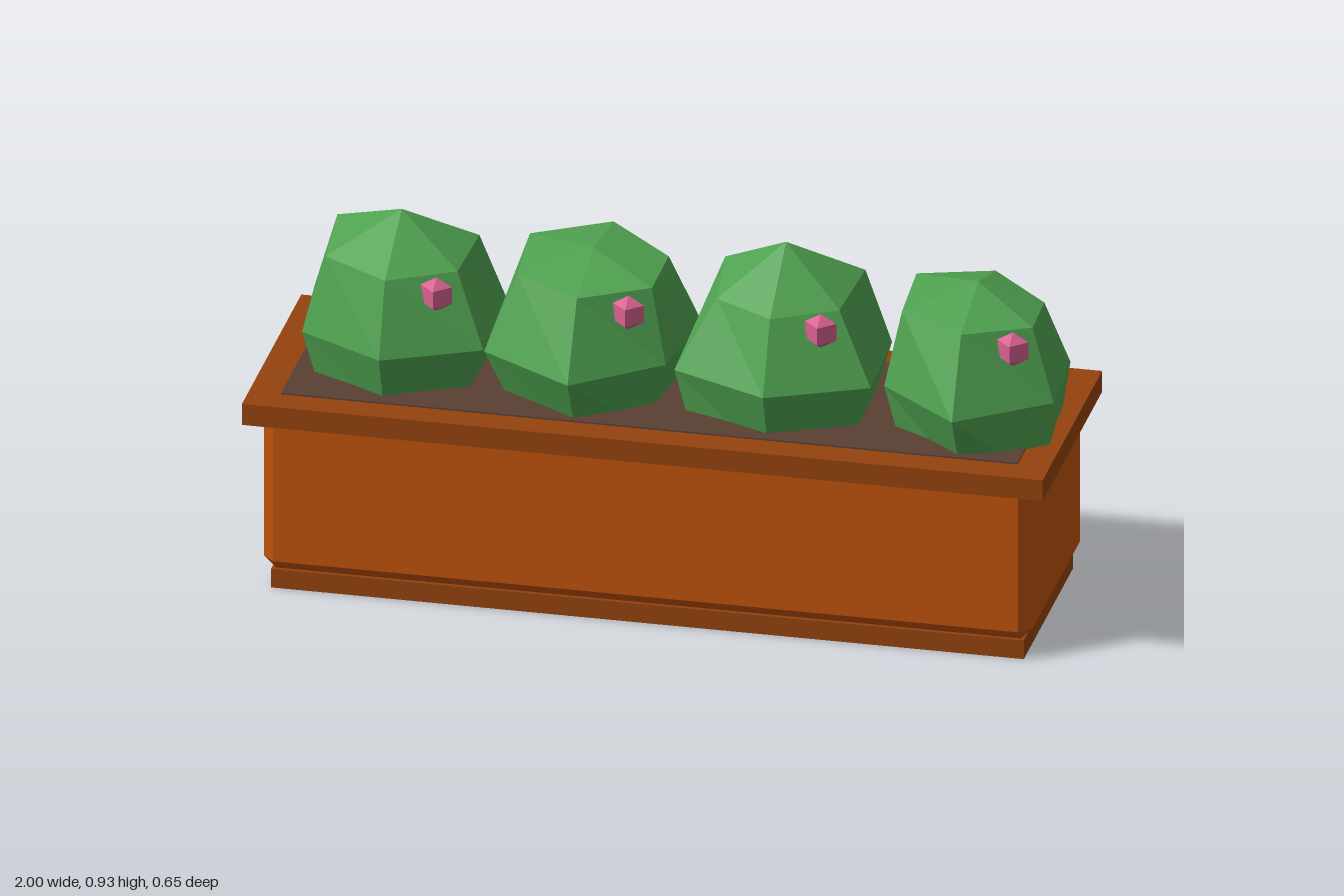
import * as THREE from 'three';
import { ConvexGeometry } from 'three/addons/geometries/ConvexGeometry.js';

const mat = (color) => new THREE.MeshStandardMaterial({ color, flatShading: true });
const clay = mat(0xbf520c), darkClay = mat(0x95430e), earth = mat(0x5a4033);
const leaf = mat(0x4fa150), petal = mat(0xd8608f);

function add(parent, name, geometry, material, x, y, z) {
  const mesh = new THREE.Mesh(geometry, material);
  mesh.name = name;
  mesh.position.set(x, y, z);
  parent.add(mesh);
  return mesh;
}

// Box with every edge and corner cut by c
function chamferedBox(w, h, d, c) {
  const points = [];
  for (const sx of [-1, 1]) for (const sy of [-1, 1]) for (const sz of [-1, 1]) {
    for (const [a, b, e] of [[0, c, c], [c, 0, c], [c, c, 0]]) {
      points.push(new THREE.Vector3(sx * (w / 2 - a), sy * (h / 2 - b), sz * (d / 2 - e)));
    }
  }
  return new ConvexGeometry(points);
}

// Six-sided ball whose vertices are pushed to individual distances.
// Each ring runs: front, right front, right back, back, left back, left front (as seen from the front)
function bushGeometry(rings) {
  const geometry = new THREE.SphereGeometry(1, 6, 4, Math.PI / 2);
  const pos = geometry.attributes.position;
  const v = new THREE.Vector3();
  for (let i = 0; i < pos.count; i++) {
    const ring = rings[Math.floor(i / 7)];
    v.fromBufferAttribute(pos, i).multiplyScalar(ring[(i % 7) % ring.length]);
    pos.setXYZ(i, v.x, v.y, v.z);
  }
  geometry.computeVertexNormals();
  return geometry;
}

// Vertex distances per bush: tip, shoulder, middle, lower ring, underside
const bushes = [
  [[0.295], [0.262, 0.262, 0.28, 0.27, 0.302, 0.275], [0.25, 0.27, 0.275, 0.265, 0.289, 0.254], [0.265, 0.27, 0.28, 0.27, 0.31, 0.28], [0.26]],
  [[0.24], [0.265, 0.272, 0.27, 0.303, 0.3, 0.275], [0.29, 0.238, 0.277, 0.29, 0.28, 0.28], [0.27, 0.26, 0.29, 0.27, 0.27, 0.27], [0.26]],
  [[0.305], [0.25, 0.25, 0.286, 0.27, 0.286, 0.25], [0.255, 0.28, 0.27, 0.24, 0.275, 0.285], [0.27, 0.29, 0.29, 0.27, 0.29, 0.32], [0.26]],
  [[0.248], [0.268, 0.255, 0.238, 0.27, 0.29, 0.275], [0.29, 0.25, 0.235, 0.25, 0.265, 0.24], [0.27, 0.32, 0.285, 0.26, 0.29, 0.27], [0.26]],
];

export function createModel() {
  const model = new THREE.Group();
  model.name = 'flowerPlanter';

  // Trough
  add(model, 'base', new THREE.BoxGeometry(1.88, 0.05, 0.54), darkClay, 0, 0.025, 0);
  add(model, 'body', chamferedBox(1.92, 0.44, 0.58, 0.03), clay, 0, 0.27, 0);
  add(model, 'rim', new THREE.BoxGeometry(2, 0.056, 0.652), darkClay, 0, 0.483, 0);
  add(model, 'soil', new THREE.BoxGeometry(1.84, 0.04, 0.5), earth, 0, 0.495, 0);

  // Row of bushes, each with one blossom
  bushes.forEach((rings, i) => {
    const plant = new THREE.Group();
    plant.name = 'plant' + (i + 1);
    plant.position.set((i - 1.5) * 0.48 + 0.045, 0.626, 0);
    add(plant, 'bush', bushGeometry(rings), leaf, 0, 0, 0);
    add(plant, 'blossom', new THREE.SphereGeometry(0.045, 4, 3), petal, 0.12, 0.145, 0.148);
    model.add(plant);
  });

  return model;
}
